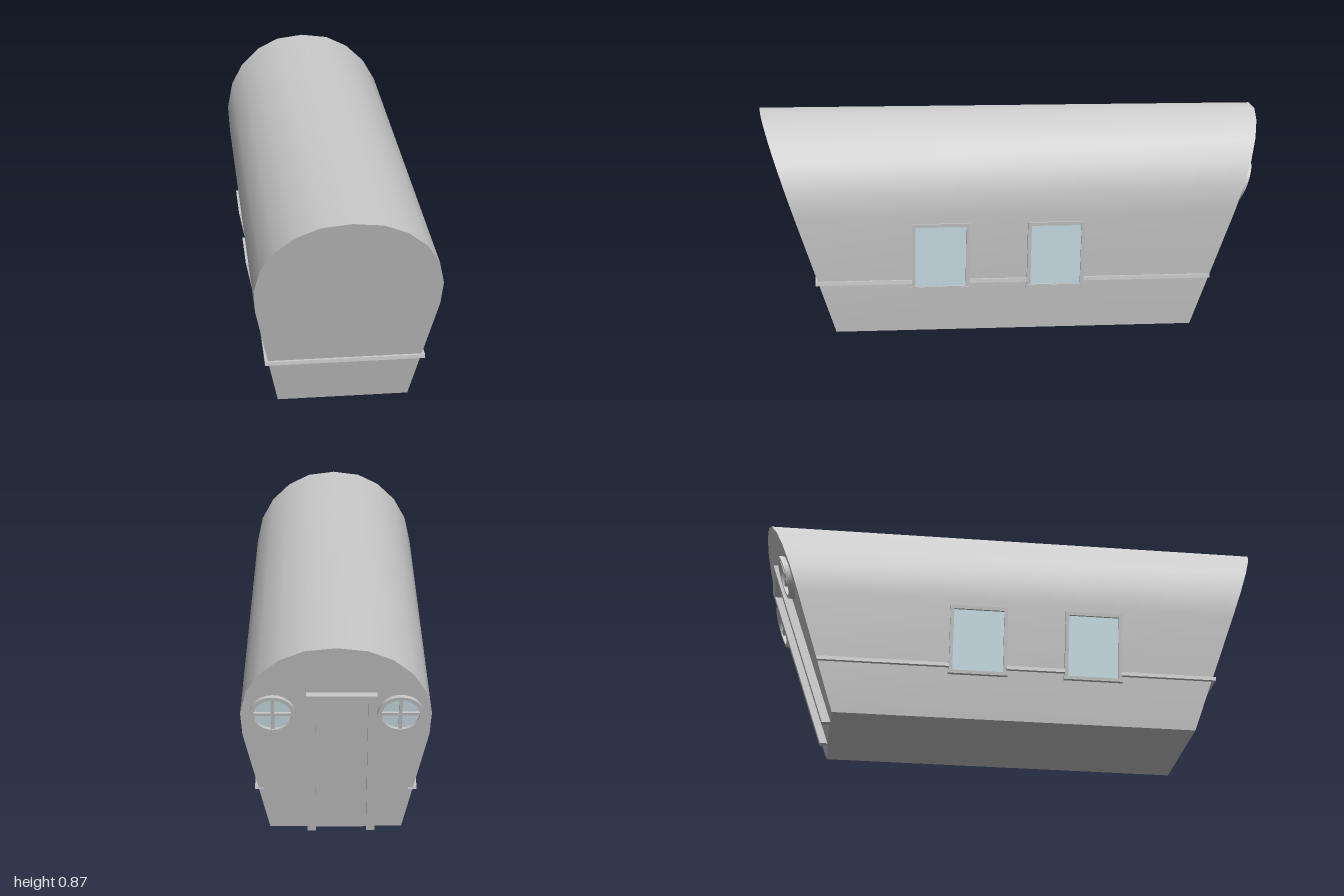
import * as THREE from 'three';
import { toCreasedNormals } from 'three/addons/utils/BufferGeometryUtils.js';

const grey = new THREE.MeshStandardMaterial({ color: 0xcccccc });
const glass = new THREE.MeshStandardMaterial({ color: 0xd4ebf2 });

const SIDE = { base: 0.25, lean: 0.1915 };   // side walls: distance out at y = 0, lean per unit height
const END = { base: 0.71, lean: 0.334 };     // end walls

// Half of the wagon cross-section, floor corner to ridge
const PROFILE = [[0.25, 0], [0.34, 0.47], [0.345, 0.57], [0.322, 0.67], [0.274, 0.75],
  [0.2, 0.815], [0.111, 0.855], [0, 0.868]];

function add(parent, name, geometry, material = grey) {
  const mesh = new THREE.Mesh(geometry, material);
  mesh.name = name;
  parent.add(mesh);
  return mesh;
}

function box(x0, x1, y0, y1, z0, z1) {
  return new THREE.BoxGeometry(x1 - x0, y1 - y0, z1 - z0)
    .translate((x0 + x1) / 2, (y0 + y1) / 2, (z0 + z1) / 2);
}

function polygon(points, Type = THREE.Shape) {
  return new Type(points.map(([x, y]) => new THREE.Vector2(x, y)));
}

function extrude(shape, depth) {
  return new THREE.ExtrudeGeometry(shape, { depth, bevelEnabled: false, curveSegments: 12 });
}

// Group standing on a wall: local x along it, y up, z outward
function wallGroup(name, wall, angle) {
  const group = new THREE.Group();
  group.name = name;
  group.rotation.y = angle;
  group.position.set(Math.sin(angle) * wall.base, 0, Math.cos(angle) * wall.base);
  return group;
}

// Slants a part outward with the lean of its wall
function slant(geometry, wall) {
  return geometry.applyMatrix4(new THREE.Matrix4().set(
    1, 0, 0, 0, 0, 1, 0, 0, 0, wall.lean, 1, 0, 0, 0, 0, 1));
}

function rectPoints(x0, x1, y0, y1) {
  return [[x0, y0], [x1, y0], [x1, y1], [x0, y1]];
}

// Framed side window with a small sill
function addWindow(group, x) {
  const w = 0.113, bar = 0.014, y0 = 0.17, y1 = 0.44;
  const shape = polygon(rectPoints(x - w, x + w, y0, y1));
  shape.holes.push(polygon(rectPoints(x - w + bar, x + w - bar, y0 + bar, y1 - bar), THREE.Path));
  add(group, 'windowFrame', slant(extrude(shape, 0.012), SIDE));
  add(group, 'windowSill', slant(box(x - w - 0.004, x + w + 0.004, y0, y0 + 0.012, 0, 0.015), SIDE));
  add(group, 'windowGlass', slant(box(x - w + bar, x + w - bar, y0 + bar, y1 - bar, -0.005, 0.004), SIDE), glass);
}

// Round window with a cross of glazing bars
function addPorthole(group, x) {
  const y = 0.573, r = 0.083, inner = 0.069, bar = 0.006;
  const ring = new THREE.Shape().absarc(x, y, r, 0, Math.PI * 2);
  ring.holes.push(new THREE.Path().absarc(x, y, inner, 0, Math.PI * 2, true));
  add(group, 'portholeFrame', toCreasedNormals(slant(extrude(ring, 0.022), END), 0.6));
  const pane = new THREE.Shape().absarc(x, y, inner, 0, Math.PI * 2);
  add(group, 'portholeGlass', slant(extrude(pane, 0.004), END), glass);
  add(group, 'portholeBarUpright', slant(box(x - bar, x + bar, y - inner, y + inner, 0, 0.016), END));
  add(group, 'portholeBarAcross', slant(box(x - inner, x + inner, y - bar, y + bar, 0, 0.016), END));
}

export function createModel() {
  const model = new THREE.Group();
  model.name = 'wagonCabin';

  // Body: arched section, stretched so both ends lean outward
  const mirrored = PROFILE.slice(0, -1).reverse().map(([x, y]) => [-x, y]);
  const body = extrude(polygon([...PROFILE, ...mirrored]), 1);
  const p = body.attributes.position;
  for (let i = 0; i < p.count; i++) {
    p.setZ(i, (p.getZ(i) - 0.5) * 2 * (END.base + END.lean * p.getY(i)));
  }
  add(model, 'body', toCreasedNormals(body, 0.45));

  // Side windows and the rail between them
  for (const s of [1, -1]) {
    const group = wallGroup(s > 0 ? 'leftWall' : 'rightWall', SIDE, s * Math.PI / 2);
    for (const z of [0.3, -0.155]) addWindow(group, -s * z);
    model.add(group);
    for (const [z0, z1] of [[-0.778, -0.268], [-0.042, 0.187], [0.413, 0.79]]) {
      const [a, b] = [s * 0.27, s * 0.302].sort((m, n) => m - n);
      add(model, 'sideRail', box(a, b, 0.196, 0.211, z0, z1));
    }
  }
  add(model, 'frontRail', box(-0.302, 0.302, 0.196, 0.211, 0.75, 0.79));

  // Back wall: door with its surround, and two portholes
  const back = wallGroup('backWall', END, Math.PI);
  const cx = 0.02, w = 0.127, bar = 0.032, top = 0.668;
  const surround = polygon([[cx - w, 0], [cx - w + bar, 0], [cx - w + bar, top - bar],
    [cx + w - bar, top - bar], [cx + w - bar, 0], [cx + w, 0], [cx + w, top], [cx - w, top]]);
  add(back, 'doorFrame', slant(extrude(surround, 0.034), END));
  add(back, 'door', slant(box(cx - w + bar, cx + w - bar, 0, top - bar, -0.01, 0.004), END));
  for (const x of [-0.228, 0.232]) addPorthole(back, x);
  model.add(back);

  return model;
}
